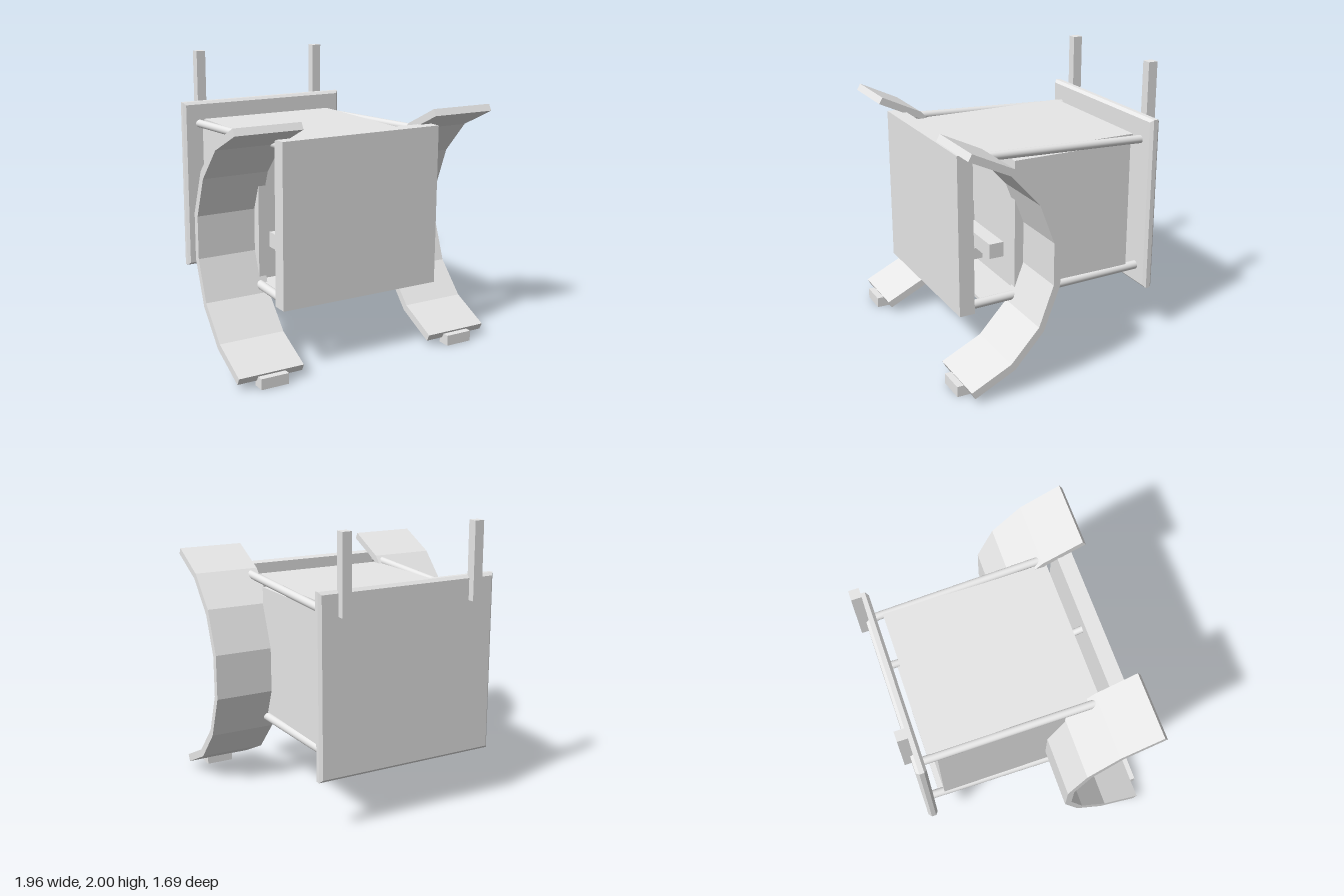
import * as THREE from 'three';

const grey = new THREE.MeshStandardMaterial({ color: 0xe7e7e7 });
grey.name = 'light grey';

export function createModel() {
  const model = new THREE.Group();
  model.name = 'framedMachine';

  const add = (name, geometry) => {
    const mesh = new THREE.Mesh(geometry, grey);
    mesh.name = name;
    model.add(mesh);
    return mesh;
  };

  // Box given by its extents on each axis
  const box = (name, [x0, x1], [y0, y1], [z0, z1]) => {
    const mesh = add(name, new THREE.BoxGeometry(x1 - x0, y1 - y0, z1 - z0));
    mesh.position.set((x0 + x1) / 2, (y0 + y1) / 2, (z0 + z1) / 2);
  };

  // Round rod between two points
  const rod = (name, from, to, radius) => {
    const a = new THREE.Vector3(...from), b = new THREE.Vector3(...to);
    const dir = b.clone().sub(a);
    const mesh = add(name, new THREE.CylinderGeometry(radius, radius, dir.length(), 24));
    mesh.position.copy(a).add(b).multiplyScalar(0.5);
    mesh.quaternion.setFromUnitVectors(new THREE.Vector3(0, 1, 0), dir.normalize());
  };

  // Side profile of [z, y] points, extruded along x
  const profile = (name, points, x0, x1) => {
    const shape = new THREE.Shape(points.map(([z, y]) => new THREE.Vector2(z, y)));
    const geo = new THREE.ExtrudeGeometry(shape, { depth: x1 - x0, bevelEnabled: false });
    geo.rotateY(-Math.PI / 2).translate(x1, 0, 0);
    add(name, geo);
  };

  // Central body with its longer top and bottom panels
  box('body', [-0.56, 0.56], [0.535, 1.46], [-0.63, 0.275]);
  box('topPanel', [-0.53, 0.53], [1.485, 1.507], [-0.67, 0.525]);
  box('bottomPanel', [-0.53, 0.53], [0.488, 0.51], [-0.67, 0.525]);

  // Front plate
  box('frontPlate', [-0.605, 0.605], [0.445, 1.57], [0.6, 0.71]);

  // Back plate with chamfered edges
  const bevel = 0.02, hw = 0.67 - bevel, hh = 0.632 - bevel;
  const outline = new THREE.Shape([[-hw, -hh], [hw, -hh], [hw, hh], [-hw, hh]]
    .map(([x, y]) => new THREE.Vector2(x, y)));
  const back = add('backPlate', new THREE.ExtrudeGeometry(outline, {
    depth: 0.033, bevelEnabled: true, bevelThickness: bevel, bevelSize: bevel, bevelSegments: 1,
  }));
  back.position.set(0, 0.998, -0.775);

  // Slanted strut and cross handle between body and front plate
  rod('centreStrut', [0, 1.33, 0.24], [0, 1.45, 0.62], 0.025);
  box('handleFoot', [-0.055, 0.055], [0.575, 0.66], [0.26, 0.39]);
  box('handleUpright', [-0.055, 0.055], [0.62, 1.03], [0.335, 0.44]);
  box('handleCrossbar', [-0.51, 0.51], [0.775, 0.88], [0.335, 0.44]);

  // Curved side shield, back face then front face
  const shield = [
    [0.78, 1.7], [0.49, 1.56], [0.28, 1.34], [0.162, 1.035],
    [0.162, 0.715], [0.28, 0.41], [0.49, 0.18], [0.78, 0.042],
    [0.805, 0.09], [0.52, 0.225], [0.315, 0.445], [0.21, 0.725],
    [0.21, 1.02], [0.315, 1.295], [0.52, 1.52], [0.805, 1.655],
  ];

  for (const [side, s] of [['left', 1], ['right', -1]]) {
    const span = (a, b) => (s > 0 ? [a, b] : [-b, -a]);
    rod(side + 'TopRod', [s * 0.56, 1.525, 0.62], [s * 0.545, 1.465, -0.74], 0.029);
    rod(side + 'BottomRod', [s * 0.56, 0.492, 0.62], [s * 0.545, 0.51, -0.74], 0.031);
    profile(side + 'Shield', shield, ...span(0.507, 0.979));
    box(side + 'Foot', span(0.64, 0.84), [0, 0.075], [0.755, 0.845]);
    box(side + 'Post', span(0.463, 0.532), [1.46, 2], [-0.845, -0.775]);
  }

  return model;
}
